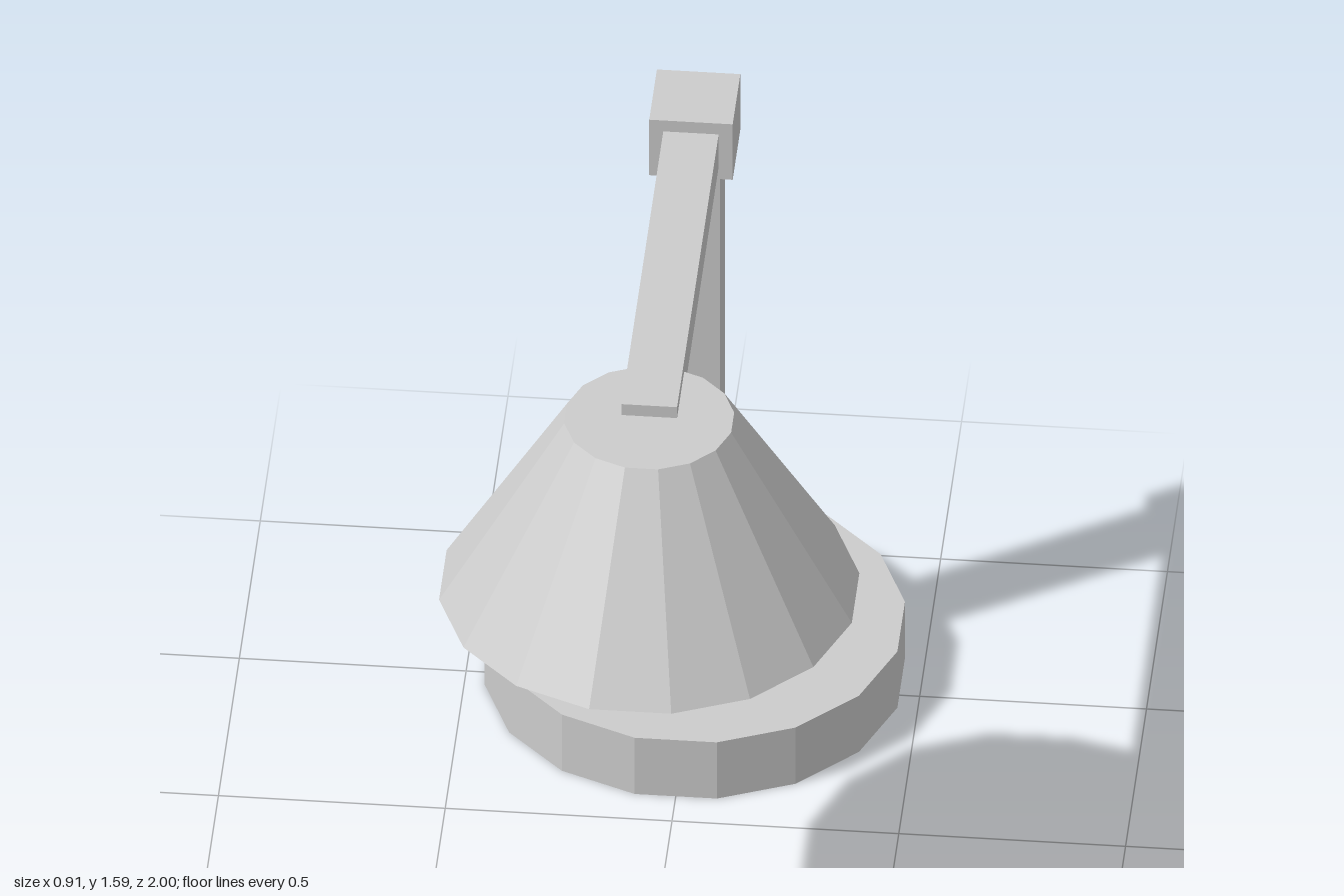
import * as THREE from 'three';

const grey = new THREE.MeshStandardMaterial({ color: 0xcccccc, flatShading: true, side: THREE.DoubleSide });
grey.name = 'lightGrey';

const BASE_Z = -0.545;
const SHADE_Z = 0.545;

export function createModel() {
  const lamp = new THREE.Group();
  lamp.name = 'deskLamp';

  const add = (name, geometry, y, z) => {
    const mesh = new THREE.Mesh(geometry, grey);
    mesh.name = name;
    mesh.position.set(0, y, z);
    lamp.add(mesh);
  };

  // Faceted drum with flat sides facing the axes; sizes are measured across the flats
  const drum = (name, top, bottom, y0, y1, z, sides, open = false) => {
    const k = 1 / Math.cos(Math.PI / sides);
    const g = new THREE.CylinderGeometry(top * k, bottom * k, y1 - y0, sides, 1, open);
    add(name, g.rotateY(Math.PI / sides), (y0 + y1) / 2, z);
  };

  const box = (name, width, y0, y1, z0, z1) =>
    add(name, new THREE.BoxGeometry(width, y1 - y0, z1 - z0), (y0 + y1) / 2, (z0 + z1) / 2);

  // Stand
  drum('base', 0.455, 0.455, 0, 0.155, BASE_Z, 16);
  drum('collar', 0.113, 0.113, 0.155, 0.28, BASE_Z, 8);
  box('post', 0.122, 0.28, 1.432, -0.605, -0.485);
  box('joint', 0.184, 1.432, 1.585, -0.636, -0.453);
  box('arm', 0.122, 1.465, 1.555, -0.453, 0.54);

  // Open-bottomed shade, its closed top, and the bulb holder inside
  drum('shade', 0.184, 0.455, 1.06, 1.525, SHADE_Z, 16, true);
  const cap = new THREE.CircleGeometry(0.184 / Math.cos(Math.PI / 16), 16);
  add('shadeTop', cap.rotateX(-Math.PI / 2).rotateY(Math.PI / 16), 1.525, SHADE_Z);
  drum('bulbHolder', 0.165, 0.165, 1.187, 1.52, SHADE_Z, 16);

  return lamp;
}
